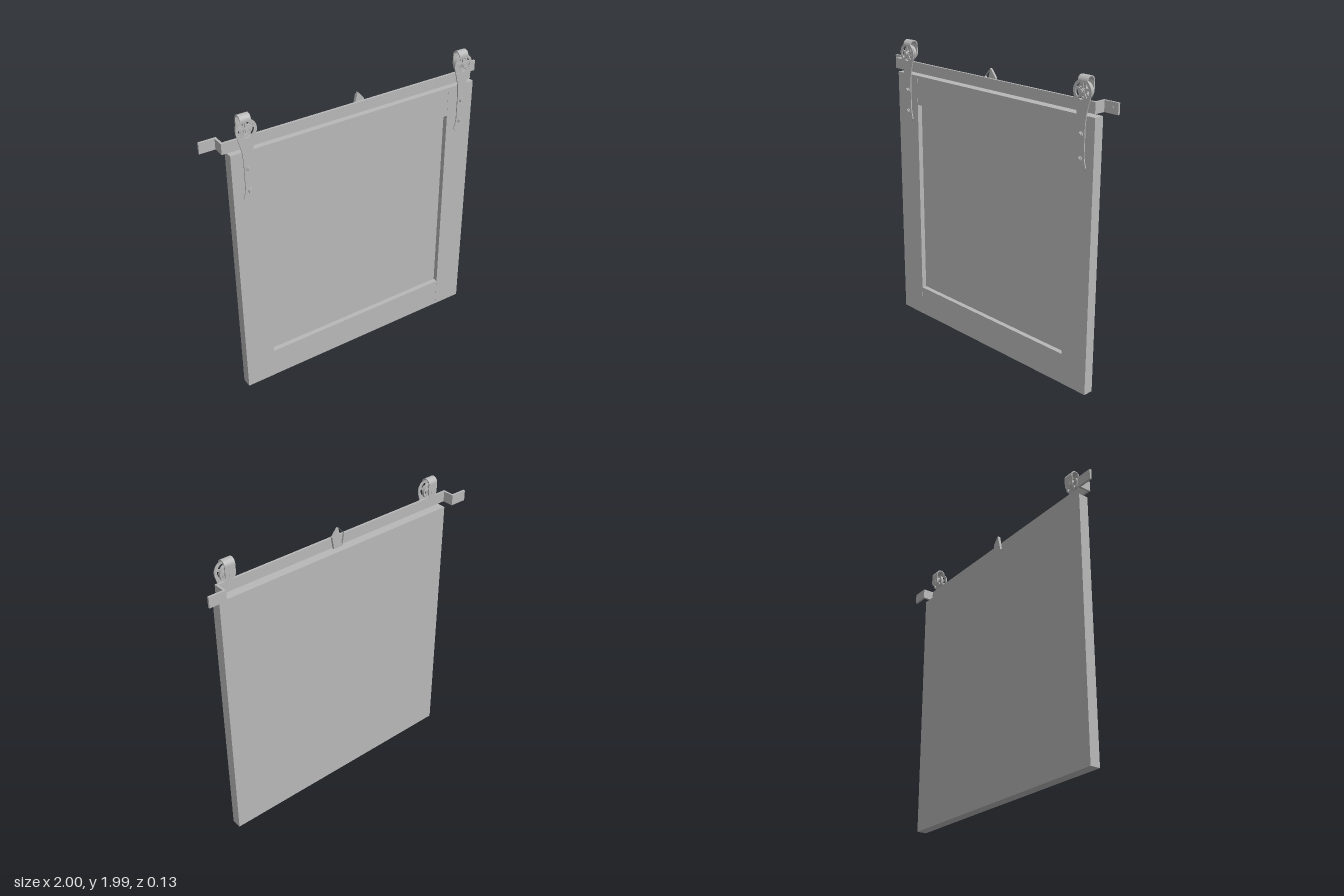
import * as THREE from 'three';

const steel = new THREE.MeshStandardMaterial({ color: 0xb8b8b8 });
steel.name = 'grey';

function add(parent, name, geometry, x = 0, y = 0, z = 0) {
  const mesh = new THREE.Mesh(geometry, steel);
  mesh.name = name;
  mesh.position.set(x, y, z);
  parent.add(mesh);
  return mesh;
}

// Box given by its limits on each axis
function slab(parent, name, x0, x1, y0, y1, z0, z1) {
  return add(parent, name, new THREE.BoxGeometry(x1 - x0, y1 - y0, z1 - z0),
    (x0 + x1) / 2, (y0 + y1) / 2, (z0 + z1) / 2);
}

const extrude = (shape, depth) =>
  new THREE.ExtrudeGeometry(shape, { depth, bevelEnabled: false, curveSegments: 16 });

// Disc whose axis points along z
const disc = (r, depth, sides = 20) => new THREE.CylinderGeometry(r, r, depth, sides).rotateX(Math.PI / 2);

// Cut five openings between spokes
function cutSpokes(shape, inner, outer) {
  for (let i = 0; i < 5; i++) {
    const mid = Math.PI / 2 + (i + 0.5) * Math.PI * 0.4;
    const hole = new THREE.Path();
    hole.absarc(0, 0, outer, mid - 0.5, mid + 0.5, false);
    hole.absarc(0, 0, inner, mid + 0.25, mid - 0.25, true);
    hole.closePath();
    shape.holes.push(hole);
  }
}

// Domed bolt on a washer, facing +z
function bolt(parent, name, y, z, r = 0.014) {
  const group = new THREE.Group();
  group.name = name;
  group.position.set(0, y, z);
  add(group, 'washer', disc(r * 1.25, 0.006), 0, 0, 0.003);
  add(group, 'boltHead', disc(r, 0.012, 6), 0, 0, 0.011);
  parent.add(group);
  return group;
}

function createHanger() {
  const hanger = new THREE.Group();
  hanger.name = 'hanger';
  const axle = 1.9;

  // Front strap: round head, narrow neck, flared pointed foot
  const strap = new THREE.Shape();
  strap.moveTo(-0.035, 0.057);
  strap.absarc(0, 0, 0.068, Math.PI * 0.68, Math.PI * 1.08, false);
  strap.quadraticCurveTo(-0.05, -0.07, -0.036, -0.13);
  strap.lineTo(-0.029, -0.2);
  strap.lineTo(-0.029, -0.37);
  strap.quadraticCurveTo(-0.032, -0.41, -0.045, -0.445);
  strap.lineTo(-0.03, -0.466);
  strap.quadraticCurveTo(-0.01, -0.468, 0, -0.478);
  strap.quadraticCurveTo(0.01, -0.468, 0.03, -0.466);
  strap.lineTo(0.045, -0.445);
  strap.quadraticCurveTo(0.032, -0.41, 0.029, -0.37);
  strap.lineTo(0.029, -0.2);
  strap.lineTo(0.036, -0.13);
  strap.quadraticCurveTo(0.05, -0.07, 0.067, -0.017);
  strap.absarc(0, 0, 0.068, -Math.PI * 0.08, Math.PI * 0.32, false);
  strap.lineTo(0.035, 0.057);
  cutSpokes(strap, 0.02, 0.05);
  add(hanger, 'strap', extrude(strap, 0.007), 0, axle, 0.041);

  // Bent loop over the wheel, drawn in z and y
  const loop = new THREE.Shape();
  loop.moveTo(0.033, -0.01);
  loop.absarc(0, 0, 0.033, 0, Math.PI, false);
  loop.lineTo(-0.033, -0.045);
  loop.lineTo(-0.026, -0.045);
  loop.absarc(0, 0, 0.026, Math.PI, 0, true);
  loop.lineTo(0.026, -0.01);
  loop.closePath();
  add(hanger, 'loop', extrude(loop, 0.07).rotateY(-Math.PI / 2), 0.035, 1.957, 0.015);

  // Rounded end of the rear strap
  const tail = new THREE.Shape();
  tail.moveTo(0.035, 0.013);
  tail.lineTo(-0.035, 0.013);
  tail.lineTo(-0.035, 0);
  tail.absarc(0, 0, 0.035, Math.PI, Math.PI * 2, false);
  add(hanger, 'rearStrap', extrude(tail, 0.007), 0, axle, -0.018);

  // Spoked wheel riding on the rail
  const wheel = new THREE.Shape();
  wheel.absarc(0, 0, 0.053, 0, Math.PI * 2, false);
  cutSpokes(wheel, 0.018, 0.042);
  add(hanger, 'wheel', extrude(wheel, 0.018), 0, axle, 0.008);
  add(hanger, 'axle', disc(0.01, 0.07), 0, axle, 0.018);
  bolt(hanger, 'axleBolt', axle, 0.048);
  add(hanger, 'axleNut', disc(0.014, 0.006, 6), 0, axle, -0.02);

  // Bolts into the door
  for (const y of [1.652, 1.505]) bolt(hanger, 'strapBolt', y, 0.048);
  return hanger;
}

export function createModel() {
  const model = new THREE.Group();
  model.name = 'slidingDoor';

  // Framed door
  const door = new THREE.Group();
  door.name = 'door';
  model.add(door);
  const back = -0.028, front = 0.04, top = 1.762;
  slab(door, 'rightStile', -0.855, -0.655, 0, top, back, front);
  slab(door, 'leftStile', 0.713, 0.913, 0, top, back, front);
  slab(door, 'topRail', -0.655, 0.713, 1.563, top, back, front - 0.001);
  slab(door, 'bottomRail', -0.655, 0.713, 0, 0.207, back, front - 0.001);
  slab(door, 'panel', -0.655, 0.713, 0.207, 1.563, back, 0.006);

  // Track: a flat bar bent back to the wall at each end, drawn in x and -z
  const track = new THREE.Shape();
  const outer = [[1, 0.065], [0.885, 0.065], [0.885, -0.011], [-0.885, -0.011], [-0.885, 0.065], [-1, 0.065]];
  const inner = [[-1, 0.051], [-0.899, 0.051], [-0.899, -0.026], [0.899, -0.026], [0.899, 0.051], [1, 0.051]];
  track.setFromPoints([...outer, ...inner].map(([x, y]) => new THREE.Vector2(x, y)));
  add(model, 'track', extrude(track, 0.07).rotateX(-Math.PI / 2), 0, 1.778, 0);
  for (const side of [-1, 1]) {
    add(model, 'wallScrew', disc(0.011, 0.005, 12), side * 0.958, 1.813, -0.049);
  }

  // Pointed stop plate behind the middle of the track
  const stop = new THREE.Shape();
  const half = [[0.033, 1.775], [0.047, 1.856], [0.01, 1.9]];
  stop.moveTo(0, 1.909);
  for (const [x, y] of half) stop.lineTo(-x, y);
  stop.lineTo(-0.033, 1.775);
  for (const [x, y] of half) stop.lineTo(x, y);
  stop.closePath();
  add(model, 'centreStop', extrude(stop, 0.014), 0.03, 0, -0.003);

  // Two hangers
  for (const x of [-0.747, 0.817]) {
    const hanger = createHanger();
    hanger.position.x = x;
    model.add(hanger);
  }
  return model;
}
